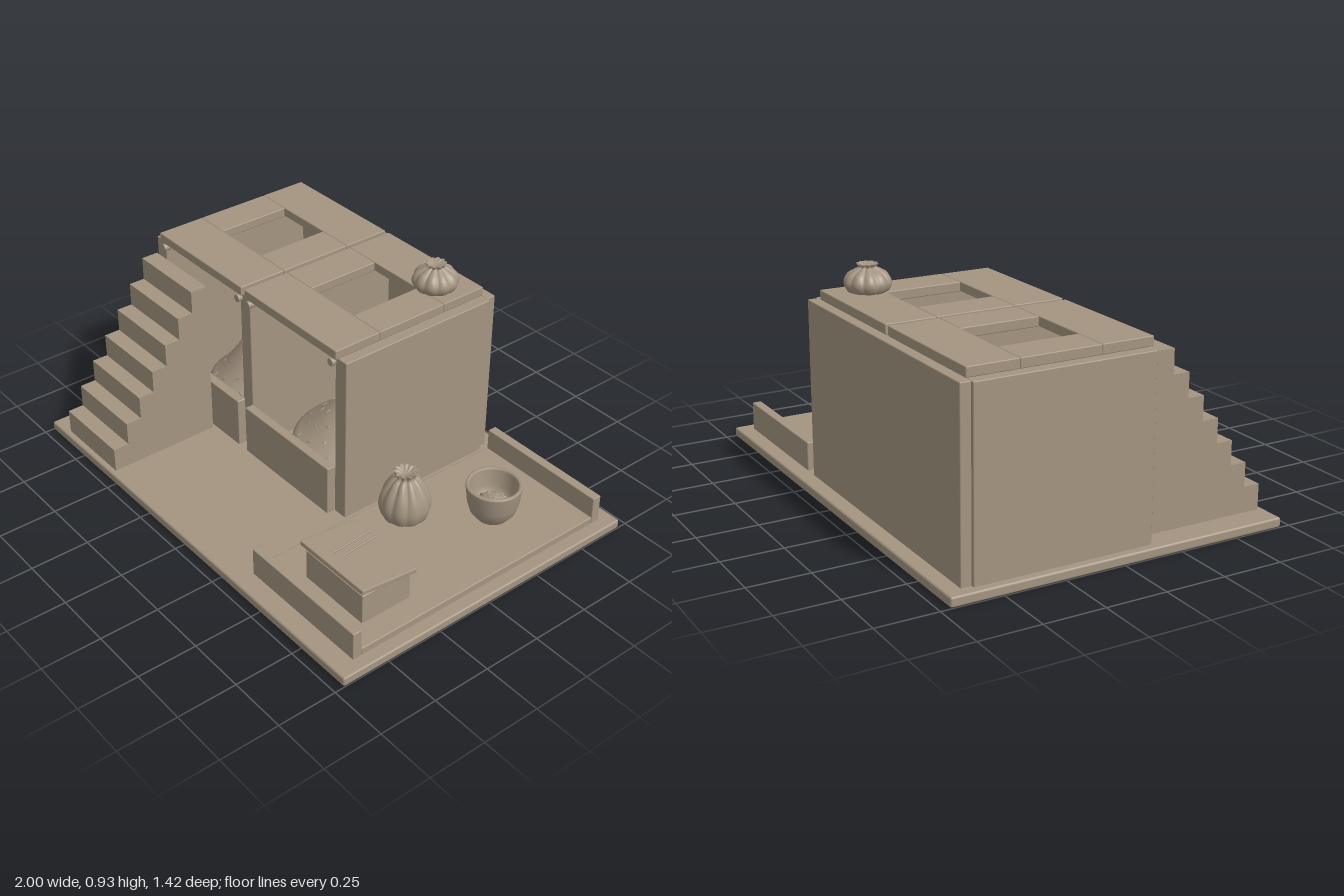
import * as THREE from 'three';
import { RoundedBoxGeometry } from 'three/addons/geometries/RoundedBoxGeometry.js';

export function createModel() {
  const root = new THREE.Group();
  root.name = 'stallDiorama';
  const clay = new THREE.MeshStandardMaterial({ color: 0xa39480 });
  clay.name = 'clay';

  const add = (name, geometry, parent = root) => {
    const mesh = new THREE.Mesh(geometry, clay);
    mesh.name = name;
    parent.add(mesh);
    return mesh;
  };
  // Box given by its limits on each axis
  const slab = (name, x0, x1, y0, y1, z0, z1, bevel = 0.004) => {
    const mesh = add(name, new RoundedBoxGeometry(x1 - x0, y1 - y0, z1 - z0, 1, bevel));
    mesh.position.set((x0 + x1) / 2, (y0 + y1) / 2, (z0 + z1) / 2);
    return mesh;
  };
  const lathe = (points, segments = 40) =>
    new THREE.LatheGeometry(points.map(([r, y]) => new THREE.Vector2(r, y)), segments);
  let seed = 7;
  const rand = () => (seed = (seed * 16807) % 2147483647) / 2147483647;

  // Ground plate and side terrace
  slab('base', -1, 1, 0, 0.04, -0.71, 0.71, 0.008);
  slab('terraceFloor', 0.345, 0.945, 0.035, 0.07, -0.605, 0.583);
  slab('terraceBackWall', 0.345, 0.945, 0.035, 0.16, -0.645, -0.605);
  slab('terraceFrontWall', 0.345, 0.945, 0.035, 0.16, 0.583, 0.623);

  // Walls of the two stalls
  slab('backWall', -0.95, 0.29, 0.035, 0.775, -0.645, -0.6);
  slab('leftStallOuterWall', -0.965, -0.9, 0.035, 0.775, -0.602, 0.137);
  slab('dividingWall', -0.367, -0.303, 0.035, 0.775, -0.602, 0.137);
  slab('rightStallOuterWall', 0.24, 0.305, 0.035, 0.775, -0.602, 0.137);

  // Pointed grain scattered over a heap
  const grain = new THREE.SphereGeometry(1, 8, 6);
  grain.scale(0.005, 0.004, 0.015);
  const scatter = (parent, count, radius, height, zScale) => {
    for (let i = 0; i < count; i++) {
      const a = i * 2.39996, r = radius * Math.sqrt((i + 0.5) / count);
      const x = r * Math.cos(a), z = r * Math.sin(a) * zScale, e = 0.002;
      const h = (px, pz) => height(Math.hypot(px, pz / zScale));
      const normal = new THREE.Vector3(
        (h(x - e, z) - h(x + e, z)) / (2 * e), 1, (h(x, z - e) - h(x, z + e)) / (2 * e)).normalize();
      const seedMesh = add('grain', grain, parent);
      seedMesh.position.set(x, h(x, z), z);
      seedMesh.quaternion.setFromUnitVectors(new THREE.Vector3(0, 1, 0), normal);
      seedMesh.rotateY(rand() * Math.PI);
    }
  };

  // Roof frame, front panel, knobs and heap of each stall
  const stalls = [
    { x0: -0.92, x1: -0.34, h0: -0.765, h1: -0.5, p0: -0.902, p1: -0.358, peak: 0.36, spread: 0.14 },
    { x0: -0.32, x1: 0.26, h0: -0.16, h1: 0.1, p0: -0.305, p1: 0.24, peak: 0.25, spread: 0.17 },
  ];
  for (const s of stalls) {
    slab('roofBackPlank', s.x0, s.x1, 0.775, 0.815, -0.605, -0.395);
    slab('roofFrontPlank', s.x0, s.x1, 0.775, 0.815, -0.065, 0.152);
    slab('roofSidePlank', s.x0, s.h0, 0.775, 0.815, -0.395, -0.065);
    slab('roofSidePlank', s.h1, s.x1, 0.775, 0.815, -0.395, -0.065);
    slab('frontPanel', s.p0, s.p1, 0.035, 0.26, 0.135, 0.175);
    for (const x of [s.p0 + 0.01, s.p1 - 0.008]) {
      const knob = add('knob', new THREE.CylinderGeometry(0.016, 0.016, 0.03, 16));
      knob.rotation.x = Math.PI / 2;
      knob.position.set(x, 0.754, 0.142);
    }
    const heap = new THREE.Group();
    heap.name = 'grainHeap';
    heap.position.set((s.h0 + s.h1) / 2, 0.04, -0.23);
    root.add(heap);
    const height = r => s.peak * Math.exp(-r * r / (2 * s.spread * s.spread));
    const profile = [[0.262, 0]];
    for (let i = 14; i >= 0; i--) profile.push([0.262 * i / 14, height(0.262 * i / 14)]);
    add('heapBody', lathe(profile), heap).scale.z = 1.2;
    scatter(heap, 50, 0.24, height, 1.2);
  }

  // Staircase: stepped outline extruded across its width
  const stair = new THREE.Shape();
  stair.moveTo(-0.19, 0.035);
  stair.lineTo(-0.685, 0.035);
  for (let i = 0; i < 7; i++) {
    stair.lineTo(-0.685 + i * 0.07, 0.145 + i * 0.1);
    stair.lineTo(i < 6 ? -0.615 + i * 0.07 : -0.19, 0.145 + i * 0.1);
  }
  stair.closePath();
  const stairGeometry = new THREE.ExtrudeGeometry(stair, { depth: 0.36, bevelEnabled: false });
  stairGeometry.rotateY(Math.PI / 2);
  add('staircase', stairGeometry).position.x = -0.89;

  // Pleated bundles: lathe body whose radius ripples more towards the neck
  const bundle = (name, points, x, y, z, lobes) => {
    const curve = new THREE.SplineCurve(points.map(p => new THREE.Vector2(...p)));
    const geometry = new THREE.LatheGeometry(curve.getPoints(28), lobes * 10);
    const top = points[points.length - 1][1], p = geometry.attributes.position;
    for (let i = 0; i < p.count; i++) {
      const a = Math.atan2(p.getZ(i), p.getX(i));
      const t = Math.min(1, Math.max(0, p.getY(i) / top));
      const k = 1 - (0.05 + 0.2 * t * t) * (1 - Math.abs(Math.sin(a * lobes / 2)));
      p.setX(i, p.getX(i) * k);
      p.setZ(i, p.getZ(i) * k);
    }
    geometry.computeVertexNormals();
    add(name, geometry).position.set(x, y, z);
  };
  bundle('tallBundle', [[0, 0], [0.08, 0.003], [0.1, 0.03], [0.106, 0.07], [0.094, 0.12],
    [0.065, 0.17], [0.042, 0.195], [0.05, 0.218], [0.025, 0.206], [0, 0.2]], 0.465, 0.07, -0.038, 10);
  bundle('roofBundle', [[0, 0], [0.07, 0.002], [0.09, 0.02], [0.095, 0.045], [0.08, 0.073],
    [0.052, 0.09], [0.036, 0.1], [0.044, 0.114], [0.02, 0.106], [0, 0.102]], 0.142, 0.815, -0.453, 10);

  // Bowl with a small speckled filling
  const bowl = new THREE.Group();
  bowl.name = 'bowl';
  bowl.position.set(0.685, 0.07, -0.308);
  root.add(bowl);
  add('bowlShell', lathe([[0, 0], [0.065, 0], [0.07, 0.006], [0.092, 0.035], [0.104, 0.075],
    [0.113, 0.15], [0.111, 0.157], [0.1, 0.157], [0.096, 0.15], [0.088, 0.08], [0.07, 0.035], [0, 0.025]], 48), bowl);
  const fillHeight = r => 0.03 + 0.065 * Math.sqrt(Math.max(0, 1 - (r / 0.078) ** 2));
  const fillProfile = [];
  for (let i = 0; i <= 12; i++) {
    const r = 0.078 * Math.cos(i / 12 * Math.PI / 2);
    fillProfile.push([i === 12 ? 0 : r, fillHeight(r)]);
  }
  add('bowlFilling', lathe(fillProfile), bowl);
  scatter(bowl, 18, 0.062, fillHeight, 1);

  // Low table with a tilted top and two sticks
  slab('tableBox', 0.515, 0.845, 0.065, 0.2, 0.268, 0.498);
  const tableTop = slab('tableTop', 0.497, 0.86, 0.207, 0.227, 0.25, 0.513);
  tableTop.rotation.x = -0.12;
  for (const x of [0.612, 0.65]) {
    const path = new THREE.LineCurve3(
      new THREE.Vector3(x, 0.239, 0.275), new THREE.Vector3(x + 0.013, 0.239, 0.455));
    add('stick', new THREE.TubeGeometry(path, 1, 0.004, 8));
  }
  return root;
}
